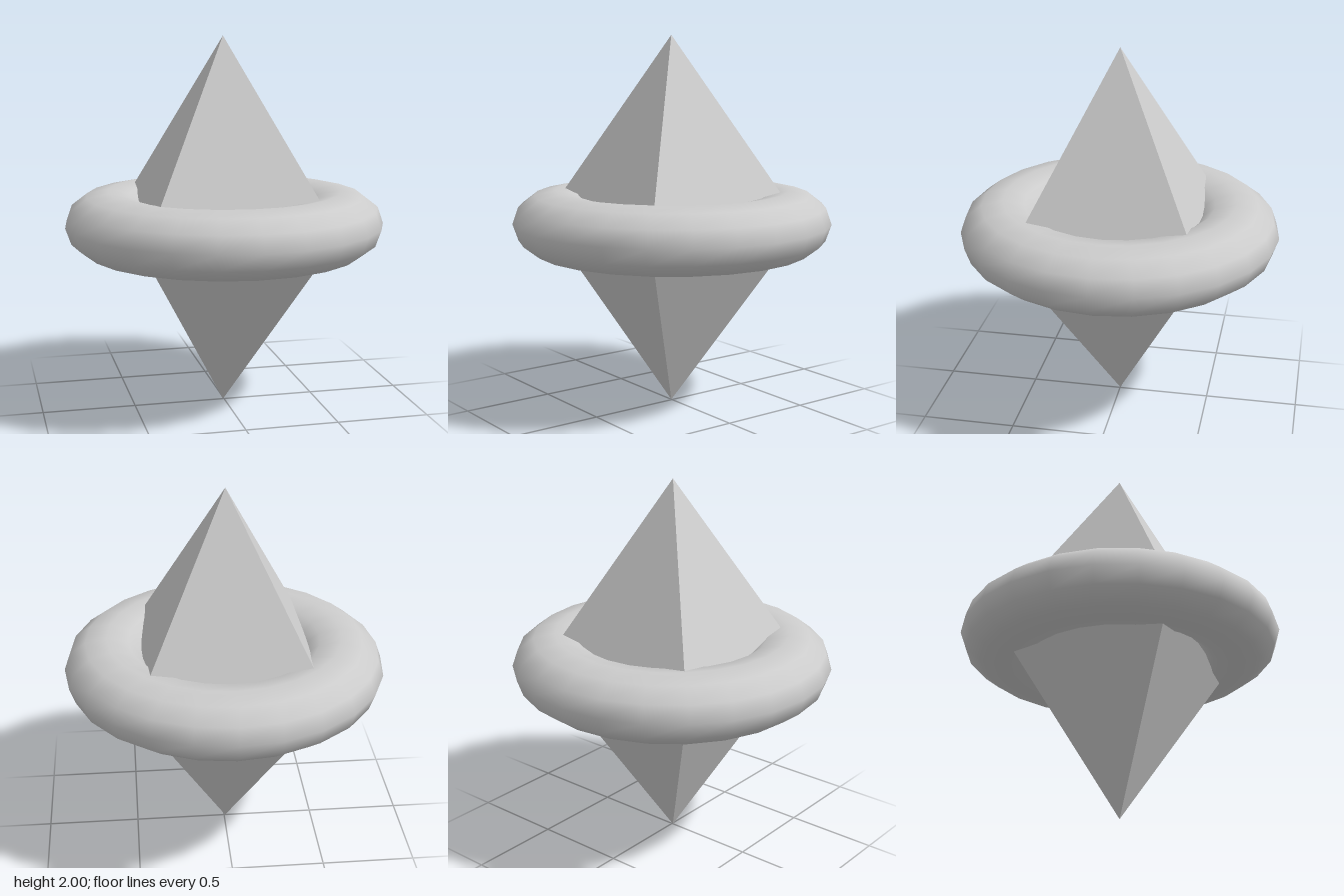
import * as THREE from 'three';

export function createModel() {
  const model = new THREE.Group();

  // Faceted crystal: two square pyramids joined base to base
  const crystalGeometry = new THREE.OctahedronGeometry(1);
  crystalGeometry.scale(Math.SQRT1_2, 1, Math.SQRT1_2);
  crystalGeometry.rotateY(Math.PI / 4);
  const crystal = new THREE.Mesh(
    crystalGeometry,
    new THREE.MeshStandardMaterial({ color: 0xcccccc, flatShading: true })
  );
  crystal.name = 'crystal';
  crystal.position.set(-0.006, 1, 0);
  model.add(crystal);

  // Smooth ring around the middle, its section slightly flattened
  const tubeWidth = 0.23, tubeHeight = 0.177;
  const ringGeometry = new THREE.TorusGeometry(0.627, tubeWidth, 12, 24);
  ringGeometry.rotateX(Math.PI / 2);
  ringGeometry.scale(1, tubeHeight / tubeWidth, 1);
  const ring = new THREE.Mesh(
    ringGeometry,
    new THREE.MeshStandardMaterial({ color: 0xcccccc })
  );
  ring.name = 'ring';
  ring.position.y = 1.003;
  model.add(ring);

  return model;
}
